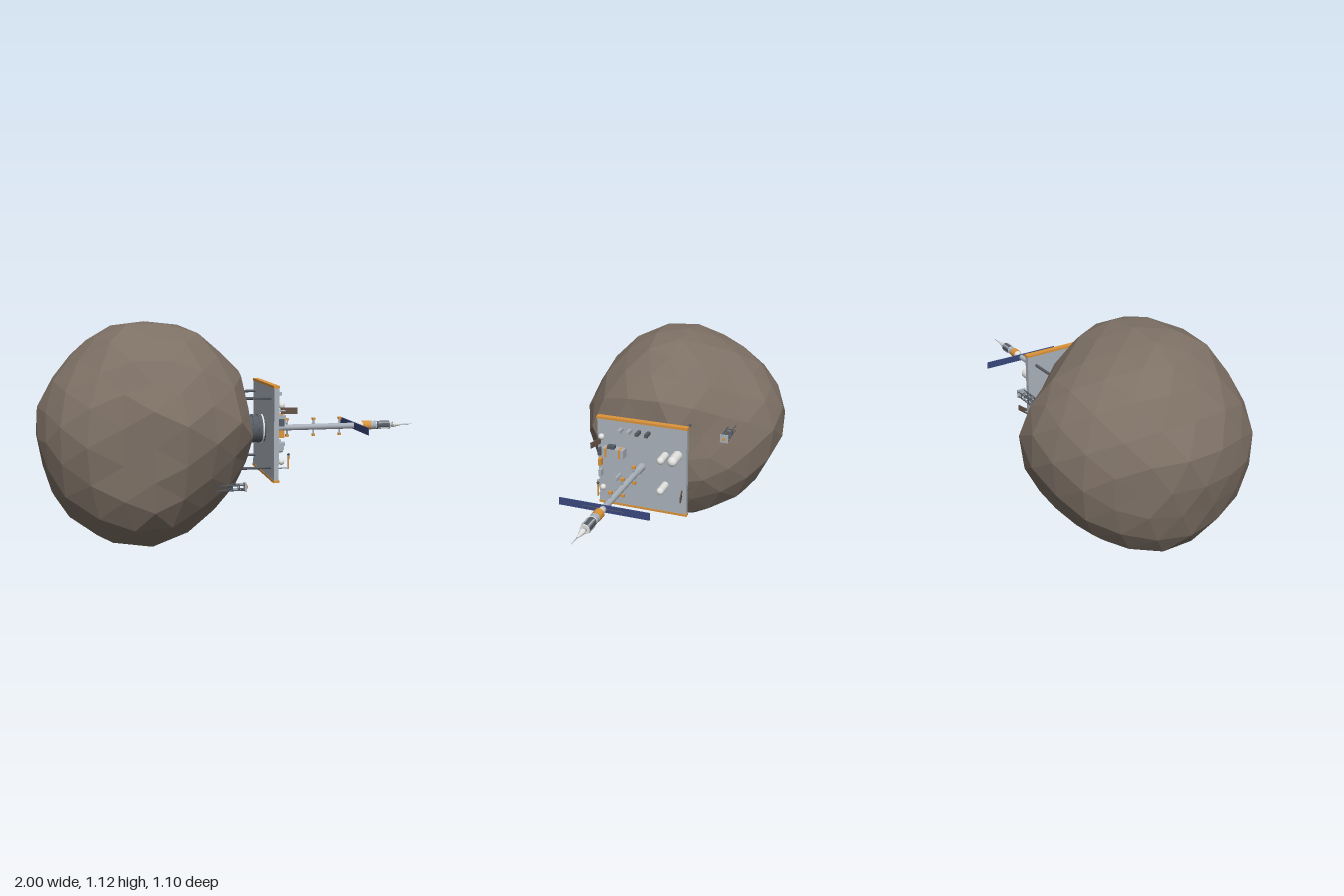
import * as THREE from 'three';

const mat = (name, color, opts = {}) => {
  const m = new THREE.MeshStandardMaterial({ color, ...opts });
  m.name = name;
  return m;
};

// Outlines of the rock as pairs: side on (x,y), end on (z,y) and plan (x,z)
const SIDE = [-1, .58, -.98, .74, -.92, .82, -.82, .95, -.7, 1.06, -.56, 1.12, -.44, 1.13, -.3, 1.115, -.14, 1.04,
  -.05, .93, .04, .86, .055, .76, .06, .57, .05, .43, 0, .3, -.08, .19, -.25, .12, -.33, .06, -.49, 0, -.65, .04,
  -.75, .11, -.88, .18, -.95, .33, -.96, .45];
const END = [.03, 1.13, .15, 1.11, .27, 1.065, .4, .96, .455, .83, .54, .7, .55, .58, .535, .5, .52, .285, .42, .155,
  .34, .055, .175, 0, .04, .055, -.22, .14, -.35, .23, -.42, .31, -.455, .42, -.545, .58, -.545, .725, -.45, .87,
  -.35, .975, -.2, 1.03, -.1, 1.08];
const PLAN = [-1, .03, -.98, -.1, -.89, -.26, -.8, -.4, -.7, -.48, -.53, -.54, -.44, -.55, -.35, -.55, -.24, -.49,
  -.1, -.37, 0, -.22, .04, -.1, .06, .1, .06, .28, .02, .37, -.1, .45, -.28, .54, -.45, .52, -.6, .485, -.77, .475,
  -.9, .36, -.95, .24];
// Shallow hollows: direction and depth
const HOLLOWS = [[.4, .35, -.38, .035], [.32, .13, -.34, .02], [.33, -.24, .355, .03]].map(([x, y, z, depth]) =>
  ({ dir: new THREE.Vector3(x, y, z).normalize(), depth }));

// Turns an outline into a function giving radius at an angle
function polar(list, cu, cv) {
  const pts = [];
  for (let i = 0; i < list.length; i += 2) {
    const u = list[i] - cu, v = list[i + 1] - cv;
    pts.push([Math.atan2(v, u), Math.hypot(u, v)]);
  }
  pts.sort((a, b) => a[0] - b[0]);
  const first = pts[0], last = pts[pts.length - 1], T = Math.PI * 2;
  pts.unshift([last[0] - T, last[1]]);
  pts.push([first[0] + T, first[1]]);
  return (v, u) => {
    const a = Math.atan2(v, u);
    let i = 1;
    while (i < pts.length - 1 && pts[i][0] < a) i++;
    const [a0, r0] = pts[i - 1], [a1, r1] = pts[i];
    return r0 + (r1 - r0) * (a - a0) / (a1 - a0 || 1);
  };
}

function rockGeometry() {
  const side = polar(SIDE, -.45, .57), end = polar(END, 0, .57), plan = polar(PLAN, -.45, 0);
  const g = new THREE.IcosahedronGeometry(1, 3);
  const p = g.attributes.position, d = new THREE.Vector3();
  for (let i = 0; i < p.count; i++) {
    d.fromBufferAttribute(p, i).normalize();
    const radii = [side(d.y, d.x), end(d.y, d.z), plan(d.z, d.x)];
    const off = [d.z, d.x, d.y];
    // blend the outlines by closeness to each plane, roughened a little
    let sum = 0, total = 0;
    radii.forEach((r, k) => {
      const w = 1 / (off[k] ** 2 + .015);
      sum += r * w;
      total += w;
    });
    const s = Math.sin(Math.round(d.x * 500) * 12.9898 + Math.round(d.y * 500) * 78.233 + Math.round(d.z * 500) * 37.719);
    const h = s * 43758.5453;
    let r = sum / total * (1.005 + .03 * (h - Math.floor(h)));
    // keep every corner inside all three outlines, with slack for the flat faces between corners
    radii.forEach((R, k) => { r = Math.min(r, 1.015 * R / Math.sqrt(Math.max(1e-6, 1 - off[k] ** 2))); });
    for (const { dir, depth } of HOLLOWS) r -= depth * THREE.MathUtils.smoothstep(d.dot(dir), .82, .97);
    p.setXYZ(i, THREE.MathUtils.clamp(d.x * r - .45, -1, .052), Math.max(0, d.y * r + .57), d.z * r);
  }
  g.computeVertexNormals();
  return g;
}

export function createModel() {
  const root = new THREE.Group();
  root.name = 'asteroidStation';
  const rock = mat('rock brown', 0x7d7065, { flatShading: true });
  const grey = mat('hull grey', 0xabb2bb), dark = mat('dark grey', 0x565b64), white = mat('white', 0xe2e2e0);
  const orange = mat('orange', 0xdc943a), blue = mat('panel blue', 0x3a487e), brown = mat('panel brown', 0x665449);
  const Y = .572, Z = .035;

  const add = (name, geo, m, x = 0, y = 0, z = 0) => {
    const o = new THREE.Mesh(geo, m);
    o.name = name;
    o.position.set(x, y, z);
    root.add(o);
    return o;
  };
  const box = (name, m, x, y, z, w, h, d) => add(name, new THREE.BoxGeometry(w, h, d), m, x, y, z);
  // cylinder or cone lying along x
  const tube = (name, m, x0, x1, r0, r1, y = Y, z = Z, n = 16) => {
    const o = add(name, new THREE.CylinderGeometry(r1, r0, x1 - x0, n), m, (x0 + x1) / 2, y, z);
    o.rotation.z = -Math.PI / 2;
    return o;
  };
  const rod = (name, m, a, b, r) => {
    const A = new THREE.Vector3(...a), B = new THREE.Vector3(...b), d = B.clone().sub(A);
    const o = add(name, new THREE.CylinderGeometry(r, r, d.length(), 8), m);
    o.position.copy(A.add(B).multiplyScalar(.5));
    o.quaternion.setFromUnitVectors(new THREE.Vector3(0, 1, 0), d.normalize());
    return o;
  };
  const ball = (name, m, x, y, z, r) => add(name, new THREE.SphereGeometry(r, 16, 12), m, x, y, z);

  add('asteroid', rockGeometry(), rock);

  // Deck with trimmed edges, drum and anchor struts
  box('deck', grey, .178, Y, Z, .025, .47, .478);
  for (const s of [-1, 1]) box('deckTrim', orange, .178, Y + s * .238, Z, .03, .012, .486);
  tube('drum', dark, .02, .166, .072, .072, Y, Z, 24);
  for (const x of [.07, .1, .13]) tube('drumRib', dark, x, x + .01, .075, .075, Y, Z, 24);
  tube('drumCollar', white, .15, .158, .076, .076, Y, Z, 24);
  for (const y of [.395, .75]) for (const z of [-.155, .21])
    rod('anchorStrut', dark, [-.12, y, z], [.168, y, z], .007);

  // Mast with cross bars
  tube('mastBase', grey, .19, .265, .021, .019);
  tube('mast', grey, .25, .7, .016, .016, Y, Z, 12);
  for (const x of [.295, .44, .585]) {
    rod('crossBar', grey, [x, Y - .043, Z], [x, Y + .043, Z], .0045);
    for (const s of [-1, 1]) box('crossBarTip', orange, x, Y + s * .043, Z, .016, .012, .018);
  }

  // Solar wing
  box('solarWing', blue, .665, Y, Z, .005, .037, .45);
  rod('wingSpar', dark, [.668, Y, Z - .1], [.668, Y, Z + .1], .0018);

  // Docked craft
  tube('dockingRing', white, .68, .71, .016, .023);
  tube('craftBand', orange, .71, .755, .025, .025);
  tube('craftService', grey, .755, .785, .024, .022);
  tube('craftBody', dark, .785, .865, .022, .022);
  for (const x of [.785, .862]) tube('bodyRing', white, x, x + .005, .0235, .0235);
  for (let i = 0; i < 4; i++) {
    const a = i * Math.PI / 2 + Math.PI / 4;
    box('bodyStrip', grey, .828, Y + .021 * Math.sin(a), Z + .021 * Math.cos(a), .06, .008, .008);
  }
  tube('craftNeck', grey, .865, .89, .011, .011);
  tube('craftNose', white, .885, .94, .015, .004);
  tube('noseSpike', grey, .94, 1, .003, .0008, Y, Z, 8);

  // Propellant tanks: upright capsules on the deck
  const tanks = [[.655, -.092, .019, .28], [.665, -.157, .025, .295], [.49, -.092, .019, .285]];
  for (const [y, z, r, x] of tanks) {
    tube('tank', white, .19, x - r, r, r, y, z);
    ball('tankDome', white, x - r, y, z, r);
  }
  for (const y of [.43, .715]) {
    tube('domePost', grey, .19, .205, .008, .008, y, .245);
    ball('sensorDome', white, .21, y, .245, .016);
  }

  // Row of instrument boxes and hexagonal canisters
  [.14, .092, .044, -.005].forEach((z, i) =>
    box('instrument', i < 2 ? grey : dark, .212, .762, z, .05, .017, .017));
  for (const [y, z] of [[.507, .157], [.507, .076], [.466, .117]]) tube('canister', grey, .19, .25, .012, .012, y, z, 6);

  // Cargo crate with straps and a camera on a post
  box('crate', grey, .212, .64, .177, .045, .045, .118);
  for (const z of [.139, .214]) box('crateStrap', orange, .212, .64, z, .048, .048, .01);
  rod('cameraPost', dark, [.225, .655, .177], [.24, .68, .177], .005);
  box('camera', dark, .24, .681, .177, .025, .018, .037);

  // Rack of units along the front edge
  [[dark, .63], [orange, Y], [grey, .511]].forEach(([m, y]) => box('rackUnit', m, .205, y, .257, .03, .036, .016));

  // Tilted radiator plates on both edges
  for (const [y, z, t] of [[.69, .262, -.22], [.466, -.195, .22]]) {
    const o = box('radiator', brown, .245, y, z, .08, .03, .006);
    o.rotation.y = t;
    rod('radiatorPost', grey, [.185, y, z - Math.sign(z) * .006], [.225, y, z], .004);
  }

  // Bent arm
  rod('armReach', grey, [.19, .4, .257], [.245, .4, .257], .004);
  rod('armUpright', orange, [.245, .393, .257], [.245, .465, .257], .004);
  ball('armJoint', dark, .245, .468, .257, .007);

  // Lattice booms standing on the rock
  for (const [y, z] of [[.705, -.34], [.333, .355]]) {
    const h = .012, w = .017;
    for (const sy of [-h, h]) for (const sz of [-w, w])
      rod('boomRail', dark, [-.18, y + sy, z + sz], [.002, y + sy, z + sz], .003);
    for (const x of [-.1, -.065, -.03]) for (const s of [-1, 1]) {
      rod('boomRung', dark, [x, y + s * h, z - w], [x, y + s * h, z + w], .0025);
      rod('boomRung', dark, [x, y - h, z + s * w], [x, y + h, z + s * w], .0025);
    }
    box('boomHead', grey, .002, y, z, .008, .042, .042);
    box('boomBeacon', orange, .01, y, z, .01, .014, .014);
  }
  return root;
}
